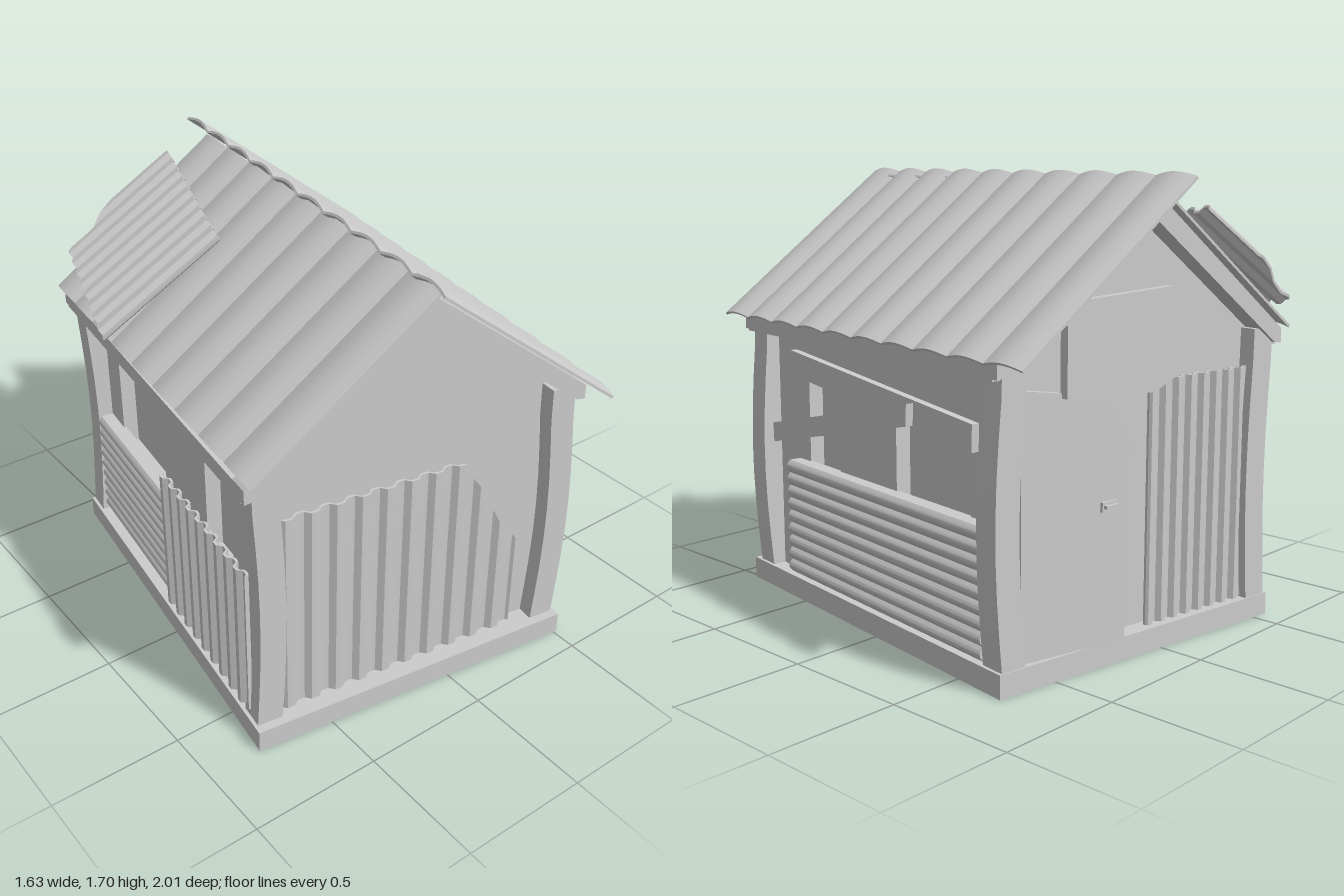
import * as THREE from 'three';
import { toCreasedNormals } from 'three/addons/utils/BufferGeometryUtils.js';

const material = new THREE.MeshStandardMaterial({ color: 0xcccccc, side: THREE.DoubleSide });

export function createModel() {
  const model = new THREE.Group();
  model.name = 'shack';
  const hut = new THREE.Group();
  hut.name = 'hut';
  hut.position.set(-0.025, 0, -0.018);
  hut.rotation.y = -0.137;
  model.add(hut);

  const add = (name, geometry, x = 0, y = 0, z = 0) => {
    const mesh = new THREE.Mesh(toCreasedNormals(geometry, 0.5), material);
    mesh.name = name;
    mesh.position.set(x, y, z);
    hut.add(mesh);
    return mesh;
  };
  const box = (name, w, h, d, x, y, z) => add(name, new THREE.BoxGeometry(w, h, d), x, y, z);

  const outline = (points) => new THREE.Shape(points.map(([x, y]) => new THREE.Vector2(x, y)));
  const slab = (shape, depth) => new THREE.ExtrudeGeometry(shape, { depth, bevelEnabled: false });

  // Corrugated sheets: a thin box whose depth follows a wave across its width
  const scallop = (t) => Math.abs(Math.sin(Math.PI * t));
  const rib = (t) => THREE.MathUtils.clamp(0.5 + 0.8 * Math.sin(2 * Math.PI * t), 0, 1);
  const sheet = (w, h, waves, amp, profile, thick = 0.01, top = () => h / 2, bottom = () => -h / 2) => {
    const geo = new THREE.BoxGeometry(w, h, thick, Math.round(waves * 10), 1, 1);
    const p = geo.attributes.position;
    for (let i = 0; i < p.count; i++) {
      const x = p.getX(i);
      const wave = amp * profile((x / w + 0.5) * waves);
      if (p.getZ(i) > 0 || thick < 0.03) p.setZ(i, p.getZ(i) + wave);
      p.setY(i, p.getY(i) > 0 ? top(x) : bottom(x));
    }
    return geo;
  };
  // Height along a polyline of [x, y] points
  const along = (points) => (x) => {
    for (let i = 1; i < points.length; i++) {
      const [[x0, y0], [x1, y1]] = [points[i - 1], points[i]];
      if (x <= x1) return y0 + ((y1 - y0) * (x - x0)) / (x1 - x0);
    }
    return points[points.length - 1][1];
  };

  // Floor and inner room
  box('base', 1.32, 0.085, 1.64, 0, 0.0425, 0.015);
  const gable = (w, eave, apex) => outline([[-w, 0.08], [w, 0.08], [w, eave], [0, apex], [-w, eave]]);
  add('innerRoom', slab(gable(0.5, 1.19, 1.57), 1.42), 0, 0, -0.71);

  // Gable walls, rafters and bent corner posts at both ends
  const chevron = outline([[-0.68, 1.115], [-0.68, 1.06], [-0.645, 1.065], [0, 1.545],
    [0.645, 1.065], [0.68, 1.06], [0.68, 1.115], [0, 1.635]]);
  for (const end of [1, -1]) {
    add('gableWall', slab(gable(0.58, 1.12, 1.58), 0.03), 0, 0, end * 0.72 - 0.015);
    add('gableRafters', slab(chevron, 0.08), 0, 0, end * 0.775 - 0.04);
    for (const side of [1, -1]) {
      const post = new THREE.BoxGeometry(0.1, 1.04, 0.1, 1, 8, 1);
      const p = post.attributes.position;
      for (let i = 0; i < p.count; i++) {
        const t = p.getY(i) / 1.04 + 0.5;
        p.setX(i, p.getX(i) + (side > 0 ? 0.028 : 0.02) * Math.sin(Math.PI * Math.min(1, t * 1.1)));
      }
      add('cornerPost', post, side * 0.597, 0.6, end * 0.75);
    }
  }

  // Side walls with two window openings, lower siding and a top plate
  for (const side of [1, -1]) {
    const face = side > 0 ? 0.595 : 0.565;
    const wall = outline([[-0.72, 0.08], [0.72, 0.08], [0.72, 1.12], [-0.72, 1.12]]);
    for (const [z0, z1] of [[0.25, 0.47], [-0.57, -0.13]]) {
      const [a, b] = [-side * z0, -side * z1].sort((m, n) => m - n);
      wall.holes.push(outline([[a, 0.48], [a, 0.89], [b, 0.89], [b, 0.48]]));
    }
    add('sideWall', slab(wall, 0.06), side * (face - 0.06)).rotation.y = side * Math.PI / 2;
    const siding = sheet(0.46, 1.25, 9, 0.016, scallop, 0.06).rotateZ(Math.PI / 2);
    add('siding', siding, side * (face + 0.02), 0.325, -0.075).rotation.y = side * Math.PI / 2;
    box('topPlate', 0.08, 0.06, 1.58, side * 0.64, 1.083, 0);
  }

  // Planks nailed across the windows
  const plank = (name, z0, y0, z1, y1, x, h0, h1) => {
    const shape = outline([[-z0, y0 - h0], [-z1, y1 - h1], [-z1 + 0.004, y1 + h1], [-z0 - 0.004, y0 + h0]]);
    add(name, slab(shape, 0.03), x).rotation.y = Math.PI / 2;
  };
  plank('upperPlank', 0.5, 0.955, -0.65, 0.845, 0.625, 0.048, 0.048);
  plank('lowerPlank', 0.6, 0.665, -0.32, 0.875, 0.655, 0.038, 0.04);

  // Corrugated panel with a torn corner on the front
  const tear = along([[-0.5, 0.915], [0.235, 0.905], [0.29, 0.81], [0.36, 0.71], [0.42, 0.56], [0.5, 0.48]]);
  add('frontPanel', sheet(0.99, 0.82, 10, 0.02, rib, 0.01, tear, () => 0.085), -0.028, 0, 0.75);

  // Corrugated panels on the back and on one side
  add('backPanel', sheet(0.52, 0.89, 8, 0.02, rib), -0.29, 0.535, -0.762).rotation.y = Math.PI;
  const fence = add('sidePanel', sheet(0.7, 0.6, 9, 0.02, rib), -0.637, 0.415, 0.39);
  fence.rotation.y = -Math.PI / 2;

  // Warped back door standing slightly ajar, with its handle
  const doorShape = outline([[-0.56, 0.09], [-0.12, 0.09], [-0.105, 0.3], [-0.13, 0.55], [-0.1, 0.78],
    [-0.17, 0.91], [-0.32, 0.975], [-0.56, 1.01]]);
  add('backDoor', slab(doorShape, 0.03), 0, 0, -0.805).rotation.y = Math.PI - 0.08;
  box('handlePlate', 0.07, 0.035, 0.012, 0.2, 0.58, -0.823);
  box('handleBar', 0.06, 0.012, 0.014, 0.2, 0.582, -0.838);

  // Loose board above the door
  const boardShape = outline([[-0.4, 0.97], [0, 0.95], [0.17, 1.02], [0.08, 1.31], [-0.3, 1.29], [-0.4, 1.21]]);
  add('gableBoard', slab(boardShape, 0.035), 0, 0, -0.795).rotation.y = Math.PI;

  // Roof sheets, laid on either slope
  const onSlope = (mesh, side, pitch, twist = 0) => {
    const c = Math.cos(pitch), s = Math.sin(pitch);
    const basis = new THREE.Matrix4().makeBasis(
      new THREE.Vector3(0, 0, -side),
      new THREE.Vector3(-side * c, s, 0),
      new THREE.Vector3(side * s, c, 0));
    mesh.quaternion.setFromRotationMatrix(basis);
    mesh.rotateZ(twist);
  };
  onSlope(add('roofRight', sheet(1.9, 0.935, 10, 0.018, scallop), 0.34, 1.395, -0.027), 1, 0.655);
  onSlope(add('roofLeft', sheet(1.7, 0.865, 9, 0.016, scallop), -0.337, 1.389, 0.002), -1, 0.64, 0.015);

  // Small ribbed patch on the left slope with a broken edge
  const patchTop = along([[-0.365, 0.33], [0.365, 0.28]]);
  const patchBottom = along([[-0.365, 0.05], [-0.27, -0.24], [0.365, -0.29]]);
  onSlope(add('roofPatch', sheet(0.73, 0.59, 9, 0.02, rib, 0.01, patchTop, patchBottom),
    -0.445, 1.343, -0.6), -1, 0.64, -0.13);

  return model;
}
